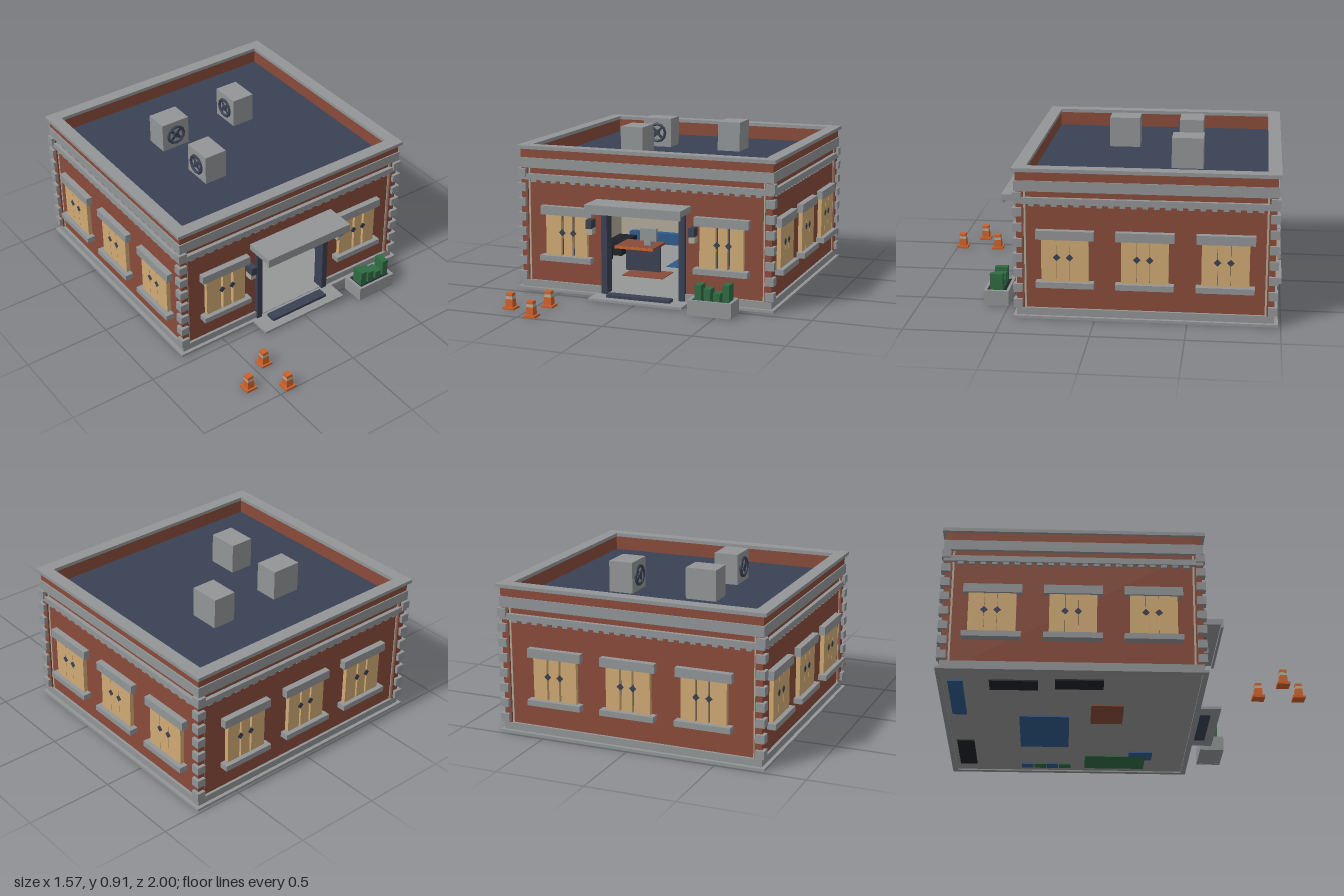
import * as THREE from 'three';

const mat = (name, color) => {
  const m = new THREE.MeshStandardMaterial({ color });
  m.name = name;
  return m;
};

export function createModel() {
  const brick = mat('brick', 0x894b3a), stone = mat('stone', 0x929597), board = mat('board', 0xd0aa74);
  const navy = mat('navy', 0x3a4153), plaster = mat('plaster', 0xb2aa99), orange = mat('orange', 0xcb612a);
  const green = mat('green', 0x2f6b42), blue = mat('blue', 0x2f5a8c), floorGrey = mat('floorGrey', 0x969797);
  const black = mat('black', 0x1f2129);

  const model = new THREE.Group();
  model.name = 'brickStation';
  const group = (name, parent, x = 0, y = 0, z = 0) => {
    const g = new THREE.Group();
    g.name = name;
    g.position.set(x, y, z);
    parent.add(g);
    return g;
  };
  const add = (parent, name, geo, m, x = 0, y = 0, z = 0) => {
    const o = new THREE.Mesh(geo, m);
    o.name = name;
    o.position.set(x, y, z);
    parent.add(o);
    return o;
  };
  // Box from its limits on each axis
  const box = (parent, name, m, x0, x1, y0, y1, z0, z1) =>
    add(parent, name, new THREE.BoxGeometry(x1 - x0, y1 - y0, z1 - z0), m, (x0 + x1) / 2, (y0 + y1) / 2, (z0 + z1) / 2);

  // The building is slightly deeper in x than z: half depth = half width - INSET
  const INSET = 0.055, DOOR = 0.25, DOOR_TOP = 0.5;
  const building = group('building', model, 0, 0, -0.27);

  // Rectangular ring of walls, with an optional gap at the door
  const ring = (name, m, hx, t, y0, y1, gap = false) => {
    const hz = hx - INSET, g = group(name, building);
    box(g, name + 'Back', m, -hx, hx, y0, y1, -hz, -hz + t);
    for (const s of [[-hx, -hx + t], [hx - t, hx]]) box(g, name + 'Side', m, s[0], s[1], y0, y1, -hz + t, hz - t);
    if (!gap) box(g, name + 'Front', m, -hx, hx, y0, y1, hz - t, hz);
    else {
      box(g, name + 'Front', m, -hx, -DOOR, y0, y1, hz - t, hz);
      box(g, name + 'Front', m, DOOR, hx, y0, y1, hz - t, hz);
      if (y1 > DOOR_TOP) box(g, name + 'Front', m, -DOOR, DOOR, DOOR_TOP, y1, hz - t, hz);
    }
  };
  ring('foundation', stone, 0.77, 0.03, 0, 0.015);
  ring('wall', brick, 0.735, 0.04, 0.015, 0.72, true);
  ring('lining', plaster, 0.695, 0.005, 0.015, 0.73, true);
  ring('skirting', stone, 0.75, 0.02, 0.015, 0.055, true);
  ring('lowerBand', stone, 0.757, 0.03, 0.643, 0.677);
  ring('upperBand', stone, 0.757, 0.04, 0.712, 0.77);
  ring('parapet', brick, 0.75, 0.05, 0.73, 0.82);
  ring('coping', stone, 0.768, 0.072, 0.82, 0.84);
  box(building, 'floor', floorGrey, -0.745, 0.745, 0.008, 0.018, -0.69, 0.69);
  box(building, 'roof', navy, -0.7, 0.7, 0.728, 0.74, -0.645, 0.645);

  // Dentils under the lower band
  const dentils = group('dentils', building);
  for (let i = -11; i <= 11; i++) for (const s of [-1, 1]) {
    const p = i * 0.061;
    add(dentils, 'dentil', new THREE.BoxGeometry(0.03, 0.016, 0.018), stone, p, 0.637, s * 0.687);
    if (Math.abs(i) < 11) add(dentils, 'dentil', new THREE.BoxGeometry(0.018, 0.016, 0.03), stone, s * 0.742, 0.637, p);
  }

  // Corner stones, brick piers and pale edge strips
  const corners = group('corners', building);
  for (const sx of [-1, 1]) for (const sz of [-1, 1]) {
    add(corners, 'cornerPier', new THREE.BoxGeometry(0.04, 0.66, 0.04), brick, sx * 0.728, 0.385, sz * 0.673);
    add(corners, 'edgeStrip', new THREE.BoxGeometry(0.015, 0.655, 0.006), plaster, sx * 0.705, 0.383, sz * 0.681);
    add(corners, 'edgeStrip', new THREE.BoxGeometry(0.006, 0.655, 0.015), plaster, sx * 0.736, 0.383, sz * 0.65);
    for (let i = 0; i < 8; i++)
      add(corners, 'cornerStone', new THREE.BoxGeometry(0.05, 0.046, 0.05), stone, sx * 0.741, 0.085 + i * 0.0855, sz * 0.686);
  }

  // Boarded windows; local +z points out of the wall. Joints between planks sit at cuts a and b
  const windowAt = (x, z, turn, a, b, gap) => {
    const g = group('window', building, x, 0, z);
    g.rotation.y = turn;
    box(g, 'lintel', stone, -0.157, 0.157, 0.45, 0.5, -0.01, 0.036);
    box(g, 'sill', stone, -0.157, 0.157, 0.183, 0.215, -0.01, 0.05);
    box(g, 'frame', navy, -0.126, 0.126, 0.216, 0.449, -0.047, 0.002);
    for (const [x0, x1] of [[-0.1275, a - gap / 2], [a + gap / 2, b - gap / 2], [b + gap / 2, 0.1275]])
      box(g, 'plank', board, x0, x1, 0.215, 0.45, -0.051, 0.024);
    for (const c of [a, b])
      add(g, 'peephole', new THREE.CylinderGeometry(0.02, 0.02, 0.004, 4).rotateX(Math.PI / 2), navy, c, 0.35, 0.025);
  };
  for (const s of [-1, 1]) {
    windowAt(s * 0.464, 0.68, 0, -0.026, 0.042, 0.015);
    for (const p of [-0.43, 0, 0.43]) windowAt(s * 0.735, p, s * Math.PI / 2, -0.043, 0.027, 0.002);
  }
  for (const p of [-0.43, 0, 0.43]) windowAt(p, -0.68, Math.PI, -0.042, 0.03, 0.012);

  // Entrance: frame, canopy, threshold and wall lamps
  const entrance = group('entrance', model);
  for (const s of [-1, 1]) {
    add(entrance, 'doorPost', new THREE.BoxGeometry(0.035, 0.5, 0.07), navy, s * 0.2325, 0.265, 0.4);
    add(entrance, 'lampHousing', new THREE.BoxGeometry(0.034, 0.05, 0.06), navy, s * 0.306, 0.42, 0.455);
    add(entrance, 'lampGlass', new THREE.BoxGeometry(0.034, 0.035, 0.05), plaster, s * 0.306, 0.377, 0.45);
  }
  box(entrance, 'doorHead', navy, -0.25, 0.25, 0.47, 0.51, 0.365, 0.435);
  box(entrance, 'canopy', stone, -0.285, 0.28, 0.52, 0.555, 0.4, 0.588);
  box(entrance, 'canopyLip', stone, -0.285, 0.28, 0.503, 0.52, 0.573, 0.588);
  box(entrance, 'stepSlab', stone, -0.28, 0.28, 0.002, 0.016, 0.44, 0.56);
  box(entrance, 'doorMat', navy, -0.19, 0.19, 0.0, 0.032, 0.45, 0.51);

  // Furniture and rugs, whose undersides reach below the floor
  const interior = group('interior', model);
  const furniture = [
    ['blueRug', blue, 0.1, -0.42, 0.46, 0.28, 0.022], ['brownRug', brick, -0.17, -0.07, 0.26, 0.18, 0.022],
    ['greenRug', green, 0.58, 0.0, 0.2, 0.36, 0.022], ['smallRug', blue, 0.47, 0.15, 0.12, 0.14, 0.022],
    ['sofa', blue, -0.38, -0.89, 0.46, 0.08, 0.09], ['rack', black, 0.44, -0.88, 0.38, 0.1, 0.14],
    ['bench', black, -0.58, -0.23, 0.12, 0.26, 0.1], ['bench', black, -0.56, -0.58, 0.12, 0.26, 0.1],
  ];
  for (const [name, m, x, z, w, d, h] of furniture)
    box(interior, name, m, x - w / 2, x + w / 2, 0, h, z - d / 2, z + d / 2);
  for (let i = 0; i < 4; i++)
    box(interior, 'locker', i % 2 ? green : blue, 0.62, 0.685, 0, 0.3, -0.56 + i * 0.075, -0.49 + i * 0.075);
  const desk = group('desk', interior);
  box(desk, 'deskTop', brick, -0.34, -0.095, 0.185, 0.2, -0.17, 0.03);
  box(desk, 'deskEdge', orange, -0.34, -0.095, 0.185, 0.2, 0.03, 0.036);
  box(desk, 'deskPanel', navy, -0.33, -0.112, 0.018, 0.185, -0.14, -0.12);
  box(desk, 'screen', stone, -0.21, -0.11, 0.225, 0.3, -0.08, -0.05);
  box(desk, 'screenStand', stone, -0.18, -0.14, 0.2, 0.225, -0.09, -0.04);
  box(interior, 'noticeBoard', navy, -0.22, -0.14, 0.33, 0.47, -0.9, -0.89);
  box(interior, 'bluePanel', blue, -0.165, -0.13, 0.3, 0.34, -0.888, -0.88);

  // Rooftop cooling units with a fan on one face
  const coolingUnit = (x, z, turn) => {
    const g = group('coolingUnit', model, x, 0.738, z);
    g.rotation.y = turn;
    box(g, 'unitCase', stone, -0.088, 0.088, 0, 0.175, -0.069, 0.069);
    add(g, 'fanRing', new THREE.TorusGeometry(0.052, 0.009, 6, 12), navy, 0, 0.088, 0.073);
    add(g, 'fanHub', new THREE.CylinderGeometry(0.018, 0.018, 0.014, 8).rotateX(Math.PI / 2), navy, 0, 0.088, 0.073);
    for (let i = 0; i < 2; i++)
      add(g, 'fanBlade', new THREE.BoxGeometry(0.095, 0.016, 0.005), navy, 0, 0.088, 0.071).rotation.z = (i + 0.5) * Math.PI / 2;
  };
  coolingUnit(-0.235, -0.466, 0);
  coolingUnit(0.23, -0.467, -Math.PI / 2);
  coolingUnit(-0.235, -0.075, -Math.PI / 2);

  // Planter with four upright plants
  const planter = group('planter', model);
  for (const z of [0.5, 0.625]) box(planter, 'planterSide', stone, 0.34, 0.59, 0, 0.085, z, z + 0.015);
  for (const x of [0.34, 0.572]) box(planter, 'planterEnd', stone, x, x + 0.018, 0, 0.085, 0.515, 0.625);
  box(planter, 'planterBase', stone, 0.358, 0.572, 0.002, 0.06, 0.515, 0.625);
  box(planter, 'soil', black, 0.358, 0.572, 0.06, 0.075, 0.515, 0.625);
  [[0.39, 0.163], [0.443, 0.145], [0.497, 0.125], [0.55, 0.176]].forEach(([x, top]) =>
    box(planter, 'plant', green, x - 0.019, x + 0.019, 0.07, top, 0.535, 0.607));

  // Traffic cones: square base, tapered four-sided body, pale band
  const frustum = (r0, r1, h) => {
    const geo = new THREE.CylinderGeometry(r1 * Math.SQRT2, r0 * Math.SQRT2, h, 4, 1).rotateY(Math.PI / 4).toNonIndexed();
    geo.computeVertexNormals();
    return geo;
  };
  for (const [x, z] of [[-0.61, 0.855], [-0.43, 0.745], [-0.43, 0.966]]) {
    const g = group('trafficCone', model, x, 0, z);
    box(g, 'coneBase', orange, -0.034, 0.034, 0, 0.013, -0.034, 0.034);
    add(g, 'coneBody', frustum(0.023, 0.02, 0.045), orange, 0, 0.0355, 0);
    add(g, 'coneBand', frustum(0.02, 0.0185, 0.016), plaster, 0, 0.066, 0);
    add(g, 'coneTip', frustum(0.0195, 0.018, 0.016), orange, 0, 0.082, 0);
  }
  return model;
}
